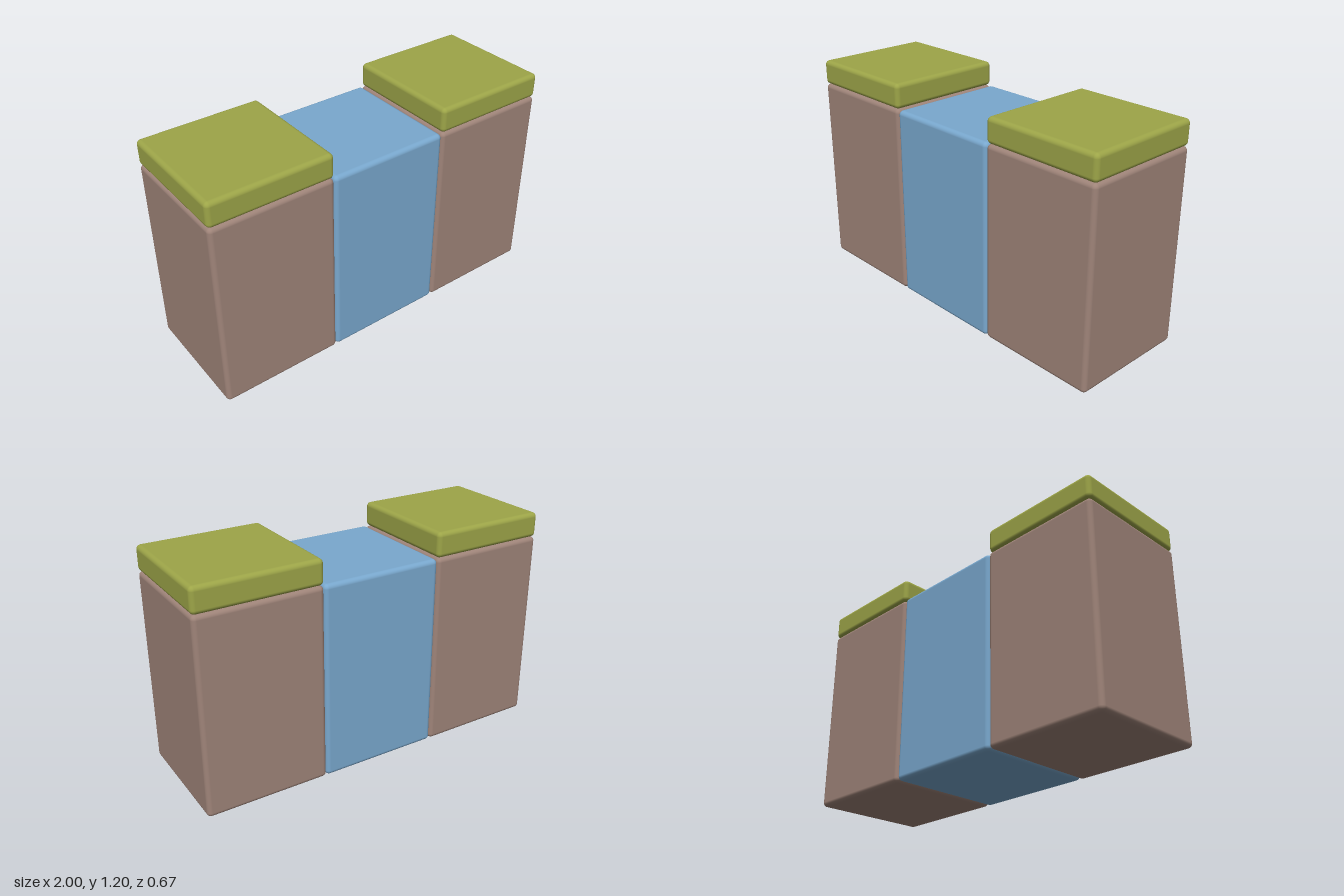
import * as THREE from 'three';
import { RoundedBoxGeometry } from 'three/addons/geometries/RoundedBoxGeometry.js';

const SIZE = 2 / 3; // width and depth of each block
const BODY = 1.065; // height of the tall blocks
const TOTAL = 1.2; // height including the caps
const BEVEL = 0.024;

function paint(name, color) {
  const material = new THREE.MeshStandardMaterial({ color });
  material.name = name;
  return material;
}

export function createModel() {
  const group = new THREE.Group();
  group.name = 'cabinetBlocks';
  const brown = paint('brown', 0x9f8479);
  const blue = paint('blue', 0x79a8ce);
  const green = paint('green', 0x9da548);

  // Soft-edged block standing on the given height
  function block(name, x, bottom, height, material) {
    const geometry = new RoundedBoxGeometry(SIZE, height, SIZE, 4, BEVEL);
    const mesh = new THREE.Mesh(geometry, material);
    mesh.name = name;
    mesh.position.set(x, bottom + height / 2, 0);
    group.add(mesh);
  }

  // Centre block
  block('centreBlock', 0, 0, BODY, blue);

  // Outer blocks with their caps
  for (const [side, sign] of [['left', 1], ['right', -1]]) {
    block(side + 'Block', sign * SIZE, 0, BODY, brown);
    block(side + 'Cap', sign * SIZE, BODY, TOTAL - BODY, green);
  }
  return group;
}
